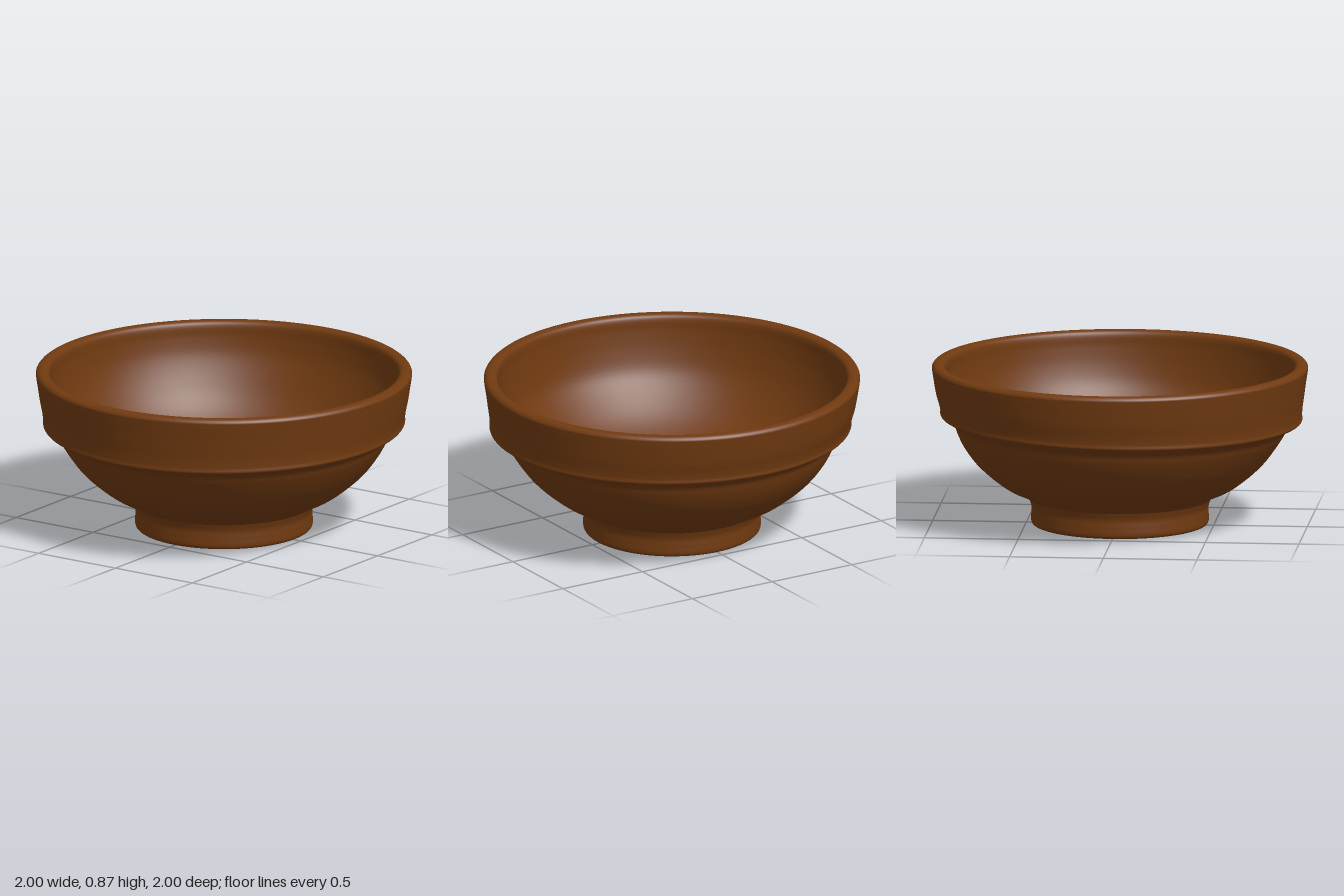
import * as THREE from 'three';
import { mergeVertices } from 'three/addons/utils/BufferGeometryUtils.js';

// Smooth run of profile points, given as [radius, height]
function smooth(points, steps) {
  const curve = new THREE.CatmullRomCurve3(points.map(([r, y]) => new THREE.Vector3(r, y, 0)), false, 'centripetal');
  return curve.getPoints(steps).map(p => new THREE.Vector2(Math.max(p.x, 0), p.y));
}

// Turned surface with the slight unevenness of hand-thrown clay
function turn(profile) {
  const geometry = new THREE.LatheGeometry(profile, 96);
  geometry.deleteAttribute('uv');
  geometry.deleteAttribute('normal');
  const pos = geometry.attributes.position;
  for (let i = 0; i < pos.count; i++) {
    const x = pos.getX(i), y = pos.getY(i), z = pos.getZ(i);
    // The shoulder ridge dips towards the right and bulges a little there
    const band = Math.exp(-(((y - 0.57) / 0.1) ** 2)) * (Math.hypot(x, z) > 0.5 ? 1 : 0);
    const swell = 1 - 0.007 * band * x + 0.006 * band * z;
    pos.setXYZ(i, x * swell, y + 0.016 * band * x, z * swell);
  }
  const merged = mergeVertices(geometry, 1e-4);
  merged.computeVertexNormals();
  return merged;
}

export function createModel() {
  const model = new THREE.Group();
  model.name = 'bowl';
  const clay = new THREE.MeshStandardMaterial({ color: 0x703a10 });
  clay.name = 'brown clay';

  const add = (name, points, steps) => {
    const mesh = new THREE.Mesh(turn(smooth(points, steps)), clay);
    mesh.name = name;
    model.add(mesh);
  };

  // Hollow foot ring, from the recessed underside to the outer wall
  add('foot', [
    [0, 0.1], [0.2, 0.098], [0.31, 0.09], [0.35, 0.06], [0.375, 0.015], [0.4, 0.002], [0.455, 0],
    [0.47, 0.012], [0.472, 0.06], [0.472, 0.1], [0.485, 0.14],
  ], 60);

  // Body: outer wall with its ridge, rounded rim, then the inside
  add('body', [
    [0.485, 0.14], [0.52, 0.165], [0.6, 0.2], [0.69, 0.265], [0.77, 0.34], [0.83, 0.42], [0.865, 0.48],
    [0.89, 0.53], [0.935, 0.56], [0.962, 0.577], [0.962, 0.6], [0.967, 0.64], [0.979, 0.7], [0.99, 0.77],
    [0.999, 0.83], [1, 0.848], [0.985, 0.864], [0.95, 0.865], [0.932, 0.85], [0.925, 0.78], [0.908, 0.68],
    [0.87, 0.57], [0.79, 0.45], [0.68, 0.345], [0.52, 0.255], [0.35, 0.21], [0.18, 0.192], [0, 0.188],
  ], 150);

  return model;
}
